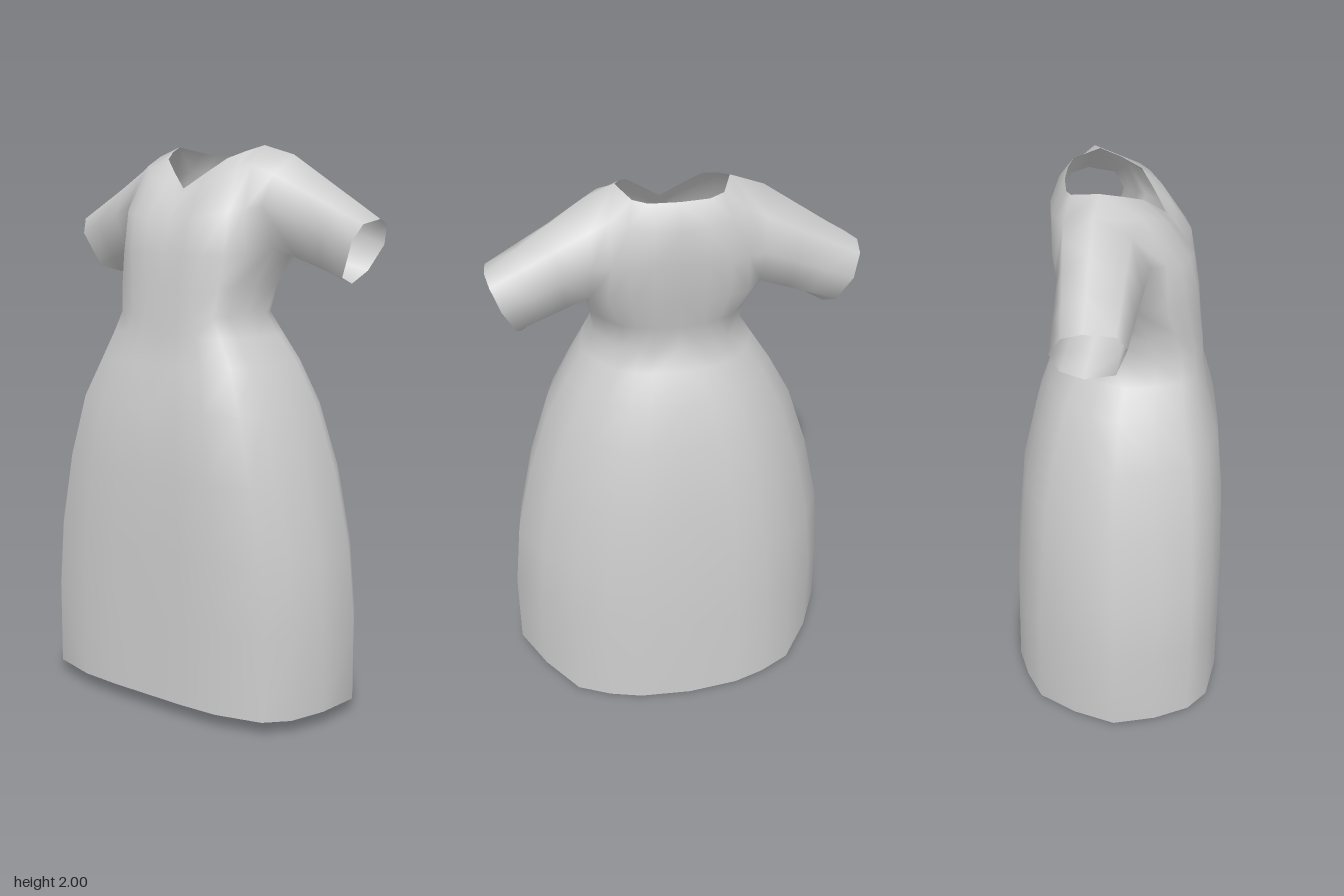
import * as THREE from 'three';
import { mergeVertices } from 'three/addons/utils/BufferGeometryUtils.js';

// Half outline of the dress seen from above, centre front to centre back, in unit form
const PLAN = [[0, 1], [.25, 1], [.49, .98], [.76, .87], [.88, .69], [.96, .38], [1, 0],
  [.87, -.38], [.69, -.72], [.5, -.87], [.31, -.96], [0, -1]];

// Half ring: height, half width, front z, back z, z of the widest point
function ring([y, w, front, back, mid]) {
  return PLAN.map(([x, t]) => [x * w, y, mid + (t > 0 ? t * (front - mid) : -t * (back - mid))]);
}

const SKIRT = [
  [.055, .615, .4, -.4, -.01], [.35, .615, .398, -.39, -.01], [.6, .59, .396, -.37, -.01],
  [.87, .53, .39, -.343, -.01], [1.1, .455, .368, -.29, 0], [1.25, .375, .327, -.24, .01],
  [1.35, .31, .31, -.19, .03], [1.42, .265, .305, -.155, .04],
];

// Front yoke rows, centre to armhole, from armpit height up to neckline and shoulder
const FRONT = [
  [[0, 1.63, .28], [.08, 1.63, .283], [.15, 1.63, .275], [.22, 1.63, .235], [.265, 1.63, .17], [.3, 1.65, .05]],
  [[0, 1.74, .25], [.09, 1.75, .262], [.16, 1.76, .245], [.22, 1.77, .21], [.255, 1.78, .165], [.29, 1.79, .11]],
  [[0, 1.8, .21], [.08, 1.85, .19], [.145, 1.89, .16], [.19, 1.92, .12], [.23, 1.93, .085], [.295, 1.9, .05]],
  [[0, 1.85, .17], [.07, 1.905, .13], [.13, 1.953, .09], [.165, 1.98, .02], [.19, 2, -.05], [.3, 1.967, -.07]],
];

// Back yoke rows, armhole to centre
const BACK = [
  [[.29, 1.64, -.12], [.24, 1.63, -.165], [.17, 1.63, -.185], [.09, 1.63, -.195], [0, 1.63, -.2]],
  [[.29, 1.77, -.185], [.23, 1.77, -.195], [.17, 1.77, -.205], [.09, 1.77, -.21], [0, 1.77, -.215]],
  [[.295, 1.89, -.165], [.23, 1.92, -.165], [.17, 1.91, -.19], [.09, 1.89, -.205], [0, 1.89, -.215]],
  [[.3, 1.967, -.07], [.19, 2, -.05], [.15, 1.98, -.14], [.1, 1.97, -.157], [0, 1.97, -.165]],
];

const ARMPIT = [.31, 1.64, -.05];

// Sleeve opening: top, front, bottom, back
const CUFF = [[.63, 1.75, -.1], [.622, 1.735, 0], [.6, 1.68, .035], [.545, 1.555, 0],
  [.525, 1.528, -.1], [.545, 1.57, -.175], [.59, 1.66, -.205], [.62, 1.73, -.165]];

export function createModel() {
  const group = new THREE.Group();
  const fabric = new THREE.MeshStandardMaterial({ color: 0xcccccc, side: THREE.DoubleSide });
  fabric.name = 'lightGreyFabric';

  const positions = [];
  const parts = [];

  // Adds the triangles between neighbouring rows, on one side of the body
  function addRows(rows, sign) {
    for (let r = 0; r + 1 < rows.length; r++) {
      for (let c = 0; c + 1 < rows[r].length; c++) {
        const [a, b, d, e] = [rows[r][c], rows[r][c + 1], rows[r + 1][c + 1], rows[r + 1][c]];
        const corners = sign > 0 ? [a, b, d, a, d, e] : [a, d, b, a, e, d];
        corners.forEach(([x, y, z]) => positions.push(sign * x, y, z));
      }
    }
  }

  function addPart(name, build) {
    const start = positions.length / 3;
    build();
    parts.push({ name, start, end: positions.length / 3 });
  }

  // Skirt, with the hem dipping at the back
  const skirt = SKIRT.map(ring);
  skirt[0].forEach((p, i) => { if (i >= 7) p[1] = i === 7 ? .03 : 0; });
  addPart('skirt', () => [1, -1].forEach((s) => addRows(skirt, s)));

  // Bodice: waist to armpits, then front and back yokes
  const chest = [...FRONT[0], ARMPIT, ...BACK[0]];
  const torso = [skirt[skirt.length - 1], ring([1.52, .28, .293, -.172, 0]), chest];
  addPart('bodice', () => [1, -1].forEach((s) => {
    addRows(torso, s);
    addRows(FRONT, s);
    addRows(BACK, s);
  }));

  // Sleeves run from the armhole edge to the cuff
  const armhole = [FRONT[3][5], FRONT[2][5], FRONT[1][5], FRONT[0][5], ARMPIT,
    BACK[0][0], BACK[1][0], BACK[2][0]];
  const sleeve = [0, .33, .67, 1].map((t) => {
    const loop = armhole.map((p, i) => p.map((v, k) => t === 1 ? CUFF[i][k] : v + (CUFF[i][k] - v) * t));
    return [...loop, loop[0]];
  });
  addPart('leftSleeve', () => addRows(sleeve, 1));
  addPart('rightSleeve', () => addRows(sleeve, -1));

  // Weld everything so shading flows across the seams, then split into parts
  const soup = new THREE.BufferGeometry();
  soup.setAttribute('position', new THREE.Float32BufferAttribute(positions, 3));
  const whole = mergeVertices(soup, 1e-4);
  whole.computeVertexNormals();
  const index = Array.from(whole.index.array);
  for (const { name, start, end } of parts) {
    const geometry = new THREE.BufferGeometry();
    geometry.setAttribute('position', whole.attributes.position);
    geometry.setAttribute('normal', whole.attributes.normal);
    geometry.setIndex(index.slice(start, end));
    const mesh = new THREE.Mesh(geometry.toNonIndexed(), fabric);
    mesh.name = name;
    group.add(mesh);
  }
  return group;
}
